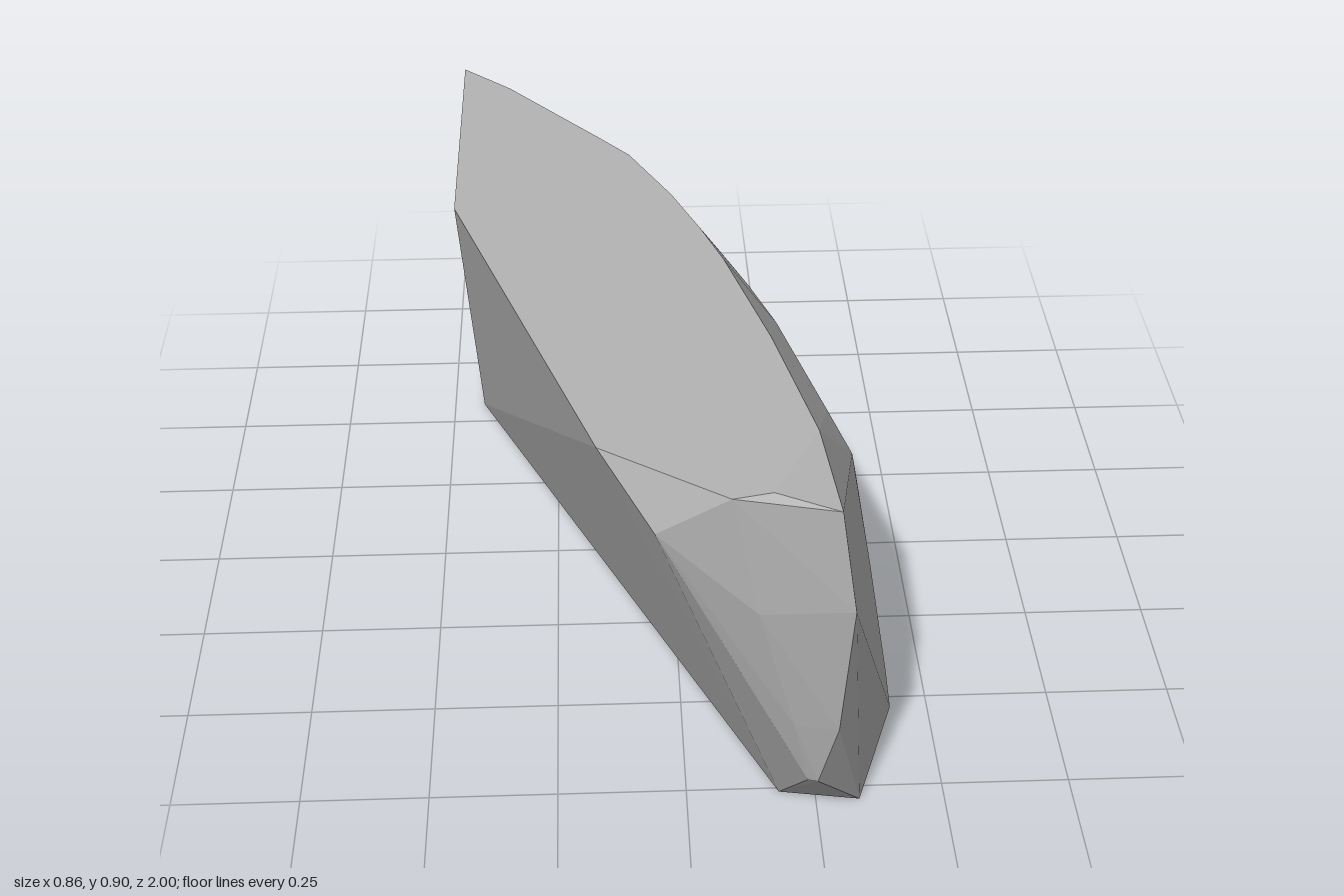
import * as THREE from 'three';
import { ConvexGeometry } from 'three/addons/geometries/ConvexGeometry.js';

const HEIGHT = 0.905;

export function createModel() {
  const group = new THREE.Group();
  group.name = 'rockChunk';
  const stone = new THREE.MeshStandardMaterial({ color: 0xb4b4b4, flatShading: true });
  stone.name = 'stone grey';

  // Outer curved edge at the base and at the top, as [x, z] from back to front
  const base = [[-0.43, -1], [-0.25, -0.84], [-0.11, -0.71], [0.01, -0.56], [0.13, -0.38],
    [0.23, -0.22], [0.29, -0.05], [0.35, 0.13], [0.425, 0.53]];
  const top = [[-0.43, -0.565], [-0.33, -0.47], [-0.22, -0.33], [-0.14, -0.24], [-0.08, -0.165],
    [0, 0], [0.05, 0.13], [0.09, 0.25], [0.16, 0.52]];

  // Rows of the domed outer side: height and outward bulge
  const rows = [[0, 0], [0.1, 0.015], [0.37, 0.05], [0.59, 0.076], [0.74, 0.06], [HEIGHT, 0]];
  const points = [];
  for (const [y, bulge] of rows) {
    const t = y / HEIGHT;
    base.forEach(([bx, bz], i) => {
      const [tx, tz] = top[i];
      const angle = i === 0 ? Math.PI / 2 : (Math.PI / 4) * (1 - i / (base.length - 1));
      points.push(new THREE.Vector3(
        THREE.MathUtils.lerp(bx, tx, t) + bulge * Math.cos(angle), y,
        THREE.MathUtils.lerp(bz, tz, t) - bulge * Math.sin(angle)));
    });
  }

  // Split inner side and chipped front end
  const corners = [
    [-0.43, 0, -0.57], [-0.43, HEIGHT, 0.04], [-0.16, HEIGHT, 0.845], [-0.065, 0.8, 0.95],
    [0.06, HEIGHT, 0.995], [0.13, HEIGHT, 0.98], [0.22, HEIGHT, 0.81], [0.245, 0.865, 0.985],
    [0.315, 0.66, 0.55], [0.275, 0.66, 1], [0.11, 0.66, 1], [0.26, 0.37, 0.98],
    [0.18, 0.38, 0.975], [0.23, 0.22, 0.955], [0.212, 0.22, 0.95],
    [0.18, 0, 0.76], [0.335, 0, 0.785],
  ];
  corners.forEach((c) => points.push(new THREE.Vector3(...c)));

  const rock = new THREE.Mesh(new ConvexGeometry(points), stone);
  rock.name = 'rock';
  group.add(rock);
  return group;
}
